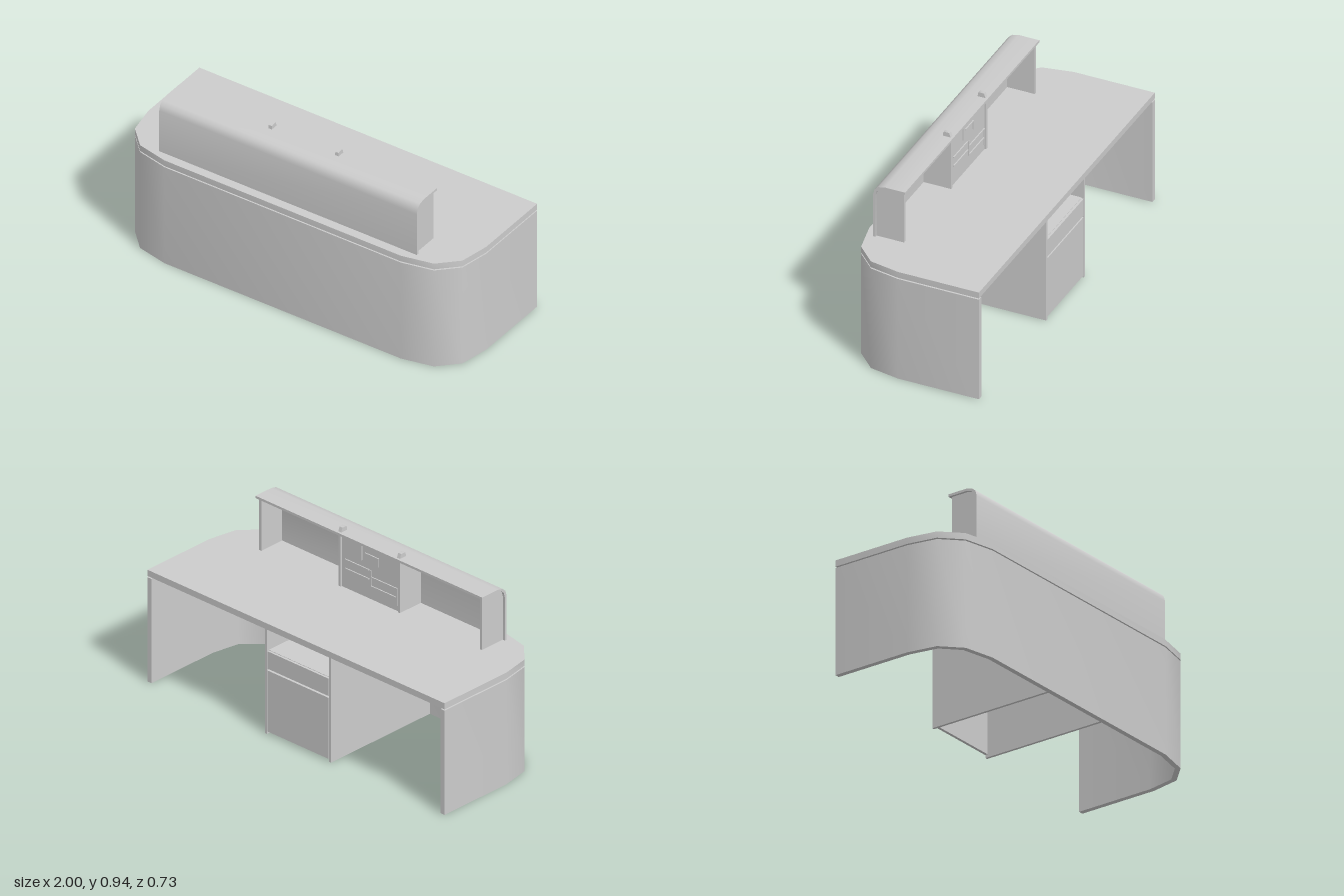
import * as THREE from 'three';
import { toCreasedNormals } from 'three/addons/utils/BufferGeometryUtils.js';

const material = new THREE.MeshStandardMaterial({ color: 0xcccccc });

export function createModel() {
  const desk = new THREE.Group();
  desk.name = 'receptionDesk';

  const add = (name, geometry) => {
    const mesh = new THREE.Mesh(geometry, material);
    mesh.name = name;
    desk.add(mesh);
    return mesh;
  };
  // Box given by its limits on each axis
  const box = (name, x0, x1, y0, y1, z0, z1) => {
    const g = new THREE.BoxGeometry(x1 - x0, y1 - y0, z1 - z0);
    g.translate((x0 + x1) / 2, (y0 + y1) / 2, (z0 + z1) / 2);
    return add(name, g);
  };
  const extrude = (points, depth) => new THREE.ExtrudeGeometry(
    new THREE.Shape(points.map(([a, b]) => new THREE.Vector2(a, b))),
    { depth, bevelEnabled: false });
  // Floor-plan outline (x, z) raised from y0 to y1
  const plan = (name, points, y0, y1) => {
    const g = extrude(points.map(([x, z]) => [x, -z]), y1 - y0);
    g.rotateX(-Math.PI / 2).translate(0, y0, 0);
    return add(name, toCreasedNormals(g, 0.7));
  };
  // Side profile (z, y) swept from x0 to x1
  const profile = (name, points, x0, x1) => {
    const g = extrude(points, x1 - x0);
    g.rotateY(-Math.PI / 2).translate(x1, 0, 0);
    return add(name, toCreasedNormals(g, 0.7));
  };
  const mirrored = (half) => [...half, ...half.map(([x, z]) => [-x, z]).reverse()];

  // Curved front wall, open at the back, and worktop
  const outer = mirrored([[1, -0.367], [1, 0.07], [0.97, 0.23], [0.87, 0.33], [0.7, 0.367]]);
  const inner = mirrored([[0.973, -0.367], [0.973, 0.067], [0.945, 0.217], [0.857, 0.305], [0.697, 0.34]]);
  plan('frontWall', [...outer, ...inner.reverse()], 0, 0.576);
  plan('worktop', outer, 0.583, 0.617);

  // Panels carrying the worktop
  for (const x of [-0.22, 0.21]) {
    box('supportPanel', x - 0.007, x + 0.007, 0, 0.583, -0.358, 0.34);
  }

  // Drawer unit between the panels
  box('cabinetTop', -0.213, 0.203, 0.447, 0.46, -0.345, 0.34);
  box('upperDrawerFront', -0.21, 0.2, 0.362, 0.458, -0.358, -0.343);
  box('lowerDrawerFront', -0.21, 0.2, 0.015, 0.352, -0.358, -0.343);

  // Raised counter hood with a rounded front
  profile('counterHood', [
    [0.318, 0.617], [0.318, 0.86], [0.31, 0.89], [0.29, 0.908], [0.255, 0.916], [0.145, 0.916],
    [0.145, 0.903], [0.255, 0.903], [0.283, 0.896], [0.298, 0.882], [0.305, 0.857], [0.305, 0.617],
  ], -0.765, 0.76);

  // Upright panels under the hood
  const upright = [
    [0.157, 0.617], [0.305, 0.617], [0.305, 0.857], [0.298, 0.882],
    [0.283, 0.896], [0.255, 0.903], [0.157, 0.903],
  ];
  for (const x of [-0.745, -0.193, 0.205, 0.74]) {
    profile('counterUpright', upright, x - 0.007, x + 0.007);
  }

  // Middle board with thin raised ribs
  box('middleBoard', -0.186, 0.198, 0.617, 0.903, 0.165, 0.177);
  const ribs = [
    [0.062, 0.815, 0.062, 0.89], [0.035, 0.858, -0.05, 0.858], [-0.05, 0.815, -0.05, 0.858],
    [0.17, 0.775, 0.015, 0.775], [0.17, 0.725, 0.015, 0.725], [0, 0.69, 0, 0.772],
    [0, 0.74, -0.17, 0.74], [0, 0.69, -0.17, 0.69], [-0.175, 0.65, -0.175, 0.74],
  ];
  for (const [xa, ya, xb, yb] of ribs) {
    const t = 0.003;
    box('boardRib', Math.min(xa, xb) - t, Math.max(xa, xb) + t, ya - t, yb + t, 0.159, 0.166);
  }

  // Small clips on top of the hood
  for (const x of [-0.19, 0.205]) {
    profile('topClip', [[0.157, 0.914], [0.2, 0.914], [0.198, 0.935], [0.19, 0.94], [0.166, 0.94]],
      x - 0.01, x + 0.01);
  }
  return desk;
}
